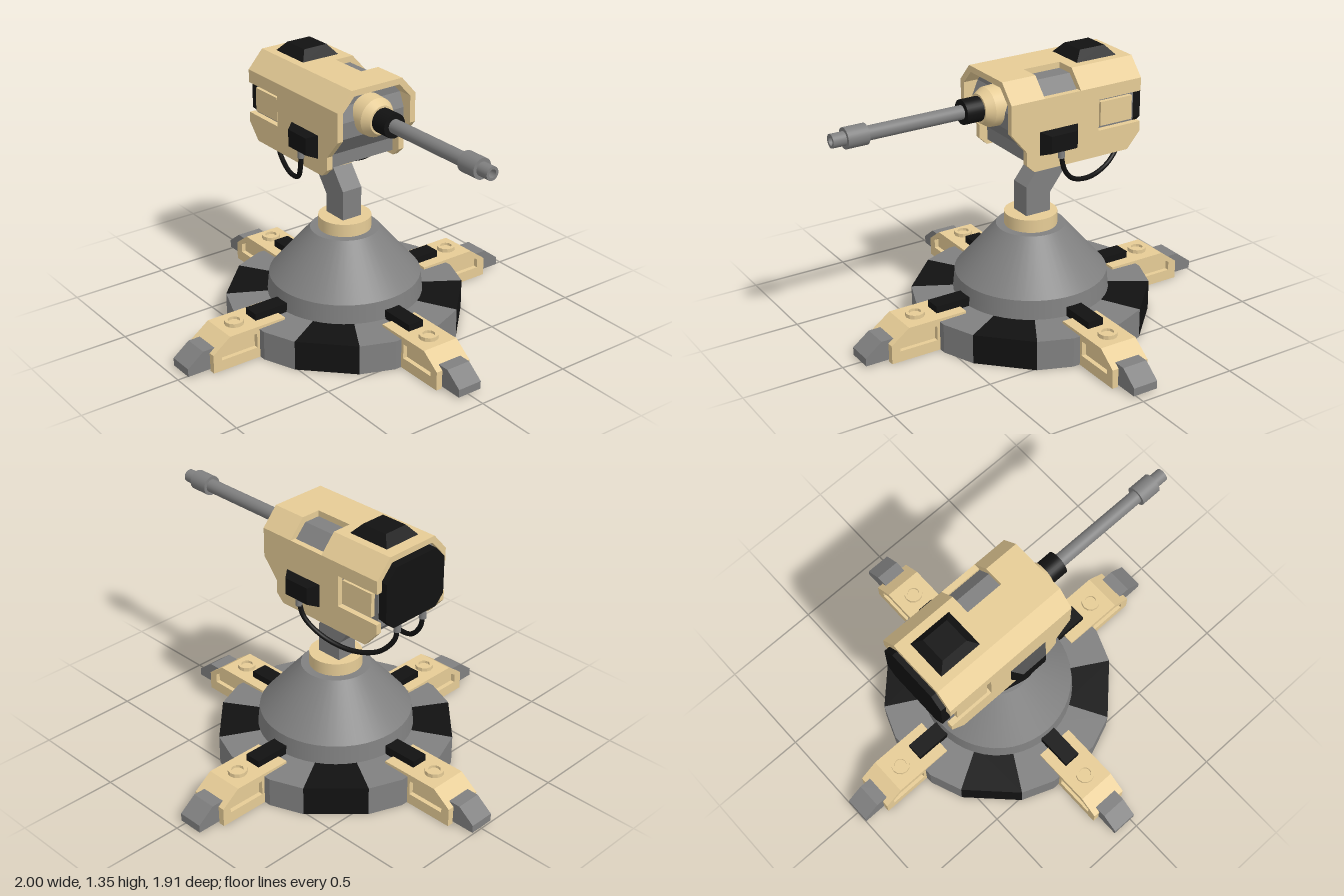
import * as THREE from 'three';

const mat = (color) => new THREE.MeshStandardMaterial({ color, side: THREE.DoubleSide });
const tan = mat(0xe6cc96), grey = mat(0x808080), black = mat(0x121212);
const CX = -0.045; // pedestal axis
const AXIS_Y = 1.137; // barrel axis

function add(parent, name, geometry, material, x = 0, y = 0, z = 0) {
  const mesh = new THREE.Mesh(geometry, material);
  mesh.name = name;
  mesh.position.set(x, y, z);
  parent.add(mesh);
  return mesh;
}

const toShape = (pts) => new THREE.Shape(pts.map(([x, y]) => new THREE.Vector2(x, y)));

// Side profile (x, y) extruded from z0 to z1
function slab(pts, z0, z1, hole) {
  const shape = toShape(pts);
  if (hole) shape.holes.push(new THREE.Path(hole.map(([x, y]) => new THREE.Vector2(x, y))));
  return new THREE.ExtrudeGeometry(shape, { depth: z1 - z0, bevelEnabled: false }).translate(0, 0, z0);
}

// Cross-section (-z, y) extruded along x from x0 to x1
function beam(pts, x0, x1) {
  return new THREE.ExtrudeGeometry(toShape(pts), { depth: x1 - x0, bevelEnabled: false })
    .rotateY(Math.PI / 2).translate(x0, 0, 0);
}

// Box whose +y face is shrunk
function frustum(w, d, h, topW, topD) {
  const g = new THREE.BoxGeometry(w, h, d);
  const p = g.attributes.position;
  for (let i = 0; i < p.count; i++) {
    if (p.getY(i) > 0) p.setXYZ(i, Math.sign(p.getX(i)) * topW / 2, h / 2, Math.sign(p.getZ(i)) * topD / 2);
  }
  g.computeVertexNormals();
  return g.translate(0, h / 2, 0);
}

const rod = (r0, r1, x0, x1, open = false) =>
  new THREE.CylinderGeometry(r1, r0, x1 - x0, 32, 1, open).rotateZ(-Math.PI / 2).translate((x0 + x1) / 2, AXIS_Y, 0);

// One flat-sided section of the base ring: outer wall and top plate, open below
function ringSection(a0, a1) {
  const at = (a, r, y) => [r * Math.cos(a), y, r * Math.sin(a)];
  const prof = [[0.59, 0], [0.59, 0.15], [0.36, 0.155]];
  const pos = [];
  for (let i = 0; i < 2; i++) {
    const [r0, y0] = prof[i], [r1, y1] = prof[i + 1];
    const a = at(a0, r0, y0), b = at(a1, r0, y0), c = at(a1, r1, y1), d = at(a0, r1, y1);
    pos.push(...a, ...c, ...b, ...a, ...d, ...c);
  }
  const g = new THREE.BufferGeometry();
  g.setAttribute('position', new THREE.Float32BufferAttribute(pos, 3));
  g.computeVertexNormals();
  return g;
}

function makeBase() {
  const base = new THREE.Group();
  base.name = 'base';
  base.position.x = CX;
  const angles = [-30, -13, 13, 30, 60];
  for (let q = 0; q < 4; q++) {
    for (let i = 0; i < 4; i++) {
      const [a0, a1] = [angles[i], angles[i + 1]].map((a) => THREE.MathUtils.degToRad(a + q * 90));
      add(base, 'ringSection', ringSection(a0, a1), i === 3 ? black : grey);
    }
    const leg = makeLeg();
    leg.rotation.y = q * Math.PI / 2;
    base.add(leg);
  }
  // Hollow dome and neck collar
  add(base, 'domeSkirt', new THREE.CylinderGeometry(0.375, 0.385, 0.1, 48, 1, true), grey, 0, 0.2);
  add(base, 'domeCone', new THREE.CylinderGeometry(0.17, 0.375, 0.24, 48, 1, true), grey, 0, 0.37);
  add(base, 'domeCap', new THREE.CircleGeometry(0.17, 48).rotateX(-Math.PI / 2), grey, 0, 0.49);
  add(base, 'neckCollar', new THREE.CylinderGeometry(0.13, 0.13, 0.065, 32), tan, 0, 0.5225);
  return base;
}

function makeLeg() {
  const leg = new THREE.Group();
  leg.name = 'leg';
  const side = [[0.575, 0], [0.835, 0], [0.835, 0.095], [0.74, 0.165], [0.43, 0.165], [0.43, 0.145], [0.575, 0.13]];
  const recess = [[0.59, 0.055], [0.79, 0.055], [0.79, 0.1], [0.745, 0.13], [0.59, 0.13]];
  for (const s of [-1, 1]) {
    const at = (a, b) => (s > 0 ? [a, b] : [-b, -a]);
    add(leg, 'legSide', slab(side, ...at(0.075, 0.098), recess), tan);
    add(leg, 'legInnerSide', slab(side, ...at(0.066, 0.075)), tan);
  }
  add(leg, 'legRoof', slab([[0.43, 0.145], [0.735, 0.135], [0.835, 0.07], [0.835, 0.095], [0.74, 0.165], [0.43, 0.165]], -0.066, 0.066), tan);
  add(leg, 'toe', slab([[0.76, 0.01], [0.955, 0.01], [0.955, 0.05], [0.87, 0.115], [0.76, 0.115]], -0.065, 0.065), grey);
  // Bolt with a raised rim
  const bolt = [[0, 0.006], [0.03, 0.006], [0.03, 0.02], [0.047, 0.02], [0.047, 0]].map(([x, y]) => new THREE.Vector2(x, y));
  add(leg, 'bolt', new THREE.LatheGeometry(bolt, 12).toNonIndexed(), tan, 0.655, 0.165).geometry.computeVertexNormals();
  add(leg, 'hinge', new THREE.BoxGeometry(0.2, 0.12, 0.085), black, 0.46, 0.14);
  return leg;
}

function makeHead() {
  const head = new THREE.Group();
  head.name = 'head';
  add(head, 'headCollar', new THREE.CylinderGeometry(0.145, 0.145, 0.06, 32), tan, -0.165, 0.857);
  // Inner body
  add(head, 'innerBody', slab([[-0.5, 0.95], [-0.44, 0.885], [0.08, 0.885], [0.08, 0.95], [0.16, 1.05],
    [0.16, 1.13], [0.13, 1.2], [-0.5, 1.2]], -0.193, 0.193), grey);
  add(head, 'innerTop', beam([[-0.193, 1.2], [0.193, 1.2], [0.128, 1.27], [-0.128, 1.27]], -0.5, 0.13), grey);
  // Armour roof in three lengths, the middle one cut open on the far side
  const roof = [[-0.225, 1.21], [-0.145, 1.3], [0.145, 1.3], [0.225, 1.21], [0.195, 1.2], [0.13, 1.27], [-0.13, 1.27], [-0.195, 1.2]];
  const cut = [[-0.225, 1.21], [-0.145, 1.3], [0.045, 1.3], [0.045, 1.27], [-0.13, 1.27], [-0.195, 1.2]];
  add(head, 'roofRear', beam(roof, -0.52, -0.175), tan);
  add(head, 'roofMiddle', beam(cut, -0.175, 0.025), tan);
  add(head, 'roofFront', beam(roof, 0.025, 0.205), tan);
  // Armour sides with a notch at the rear
  const side = [[-0.52, 1.21], [-0.52, 1.145], [-0.28, 1.145], [-0.28, 0.99], [-0.52, 0.99], [-0.52, 0.94],
    [-0.45, 0.86], [0.08, 0.86], [0.122, 0.9], [0.122, 0.965], [0.205, 1.065], [0.205, 1.21]];
  for (const s of [-1, 1]) {
    add(head, 'sideArmour', slab(side, s > 0 ? 0.195 : -0.225, s > 0 ? 0.225 : -0.195), tan);
    add(head, 'notchPanel', new THREE.BoxGeometry(0.18, 0.12, 0.03), tan, -0.387, 1.067, s * 0.2);
    const box = add(head, 'sideBox', frustum(0.22, 0.12, 0.05, 0.14, 0.085), black, -0.055, 0.994, s * 0.22);
    box.rotation.x = s * Math.PI / 2;
    // Hanging cable and its plugs
    const path = new THREE.CatmullRomCurve3([[-0.05, 0.94, 0.25], [-0.075, 0.85, 0.238], [-0.16, 0.763, 0.195],
      [-0.3, 0.73, 0.15], [-0.43, 0.765, 0.11], [-0.505, 0.85, 0.088], [-0.52, 0.92, 0.085]]
      .map(([x, y, z]) => new THREE.Vector3(x, y, z * s)));
    add(head, 'cable', new THREE.TubeGeometry(path, 48, 0.012, 10), black);
    add(head, 'frontPlug', new THREE.CylinderGeometry(0.016, 0.016, 0.035, 12), grey, -0.052, 0.93, s * 0.25);
    add(head, 'rearPlug', new THREE.CylinderGeometry(0.018, 0.018, 0.05, 12), grey, -0.518, 0.925, s * 0.085);
  }
  // Rear panel and roof vent
  add(head, 'rearPanel', beam([[-0.14, 0.95], [0.14, 0.95], [0.19, 1.0], [0.19, 1.19], [0.13, 1.255],
    [-0.13, 1.255], [-0.19, 1.19], [-0.19, 1.0]], -0.545, -0.48), black);
  add(head, 'roofVent', frustum(0.23, 0.21, 0.05, 0.14, 0.13), black, -0.347, 1.297);
  return head;
}

function makeGun() {
  const gun = new THREE.Group();
  gun.name = 'gun';
  add(gun, 'barrelMount', rod(0.1, 0.095, 0.12, 0.205), tan);
  add(gun, 'barrelMountTip', rod(0.095, 0.07, 0.205, 0.245), tan);
  add(gun, 'sleeve', rod(0.06, 0.06, 0.24, 0.335), black);
  add(gun, 'barrel', rod(0.034, 0.034, 0.33, 0.84), grey);
  add(gun, 'muzzleRing', rod(0.05, 0.05, 0.83, 0.935), grey);
  // Hollow tip
  add(gun, 'tip', rod(0.033, 0.033, 0.93, 1, true), grey);
  add(gun, 'bore', rod(0.02, 0.02, 0.94, 1, true), grey);
  add(gun, 'tipRim', new THREE.RingGeometry(0.02, 0.033, 32).rotateY(Math.PI / 2), grey, 1, AXIS_Y);
  add(gun, 'boreEnd', new THREE.CircleGeometry(0.02, 24).rotateY(Math.PI / 2), black, 0.945, AXIS_Y);
  return gun;
}

export function createModel() {
  const model = new THREE.Group();
  model.name = 'turret';
  model.add(makeBase(), makeHead(), makeGun());
  // Bent arm between base and head
  add(model, 'neckArm', slab([[-0.12, 0.54], [0.015, 0.54], [0.015, 0.705], [-0.09, 0.84], [-0.265, 0.84], [-0.12, 0.65]], -0.055, 0.055), grey);
  return model;
}
